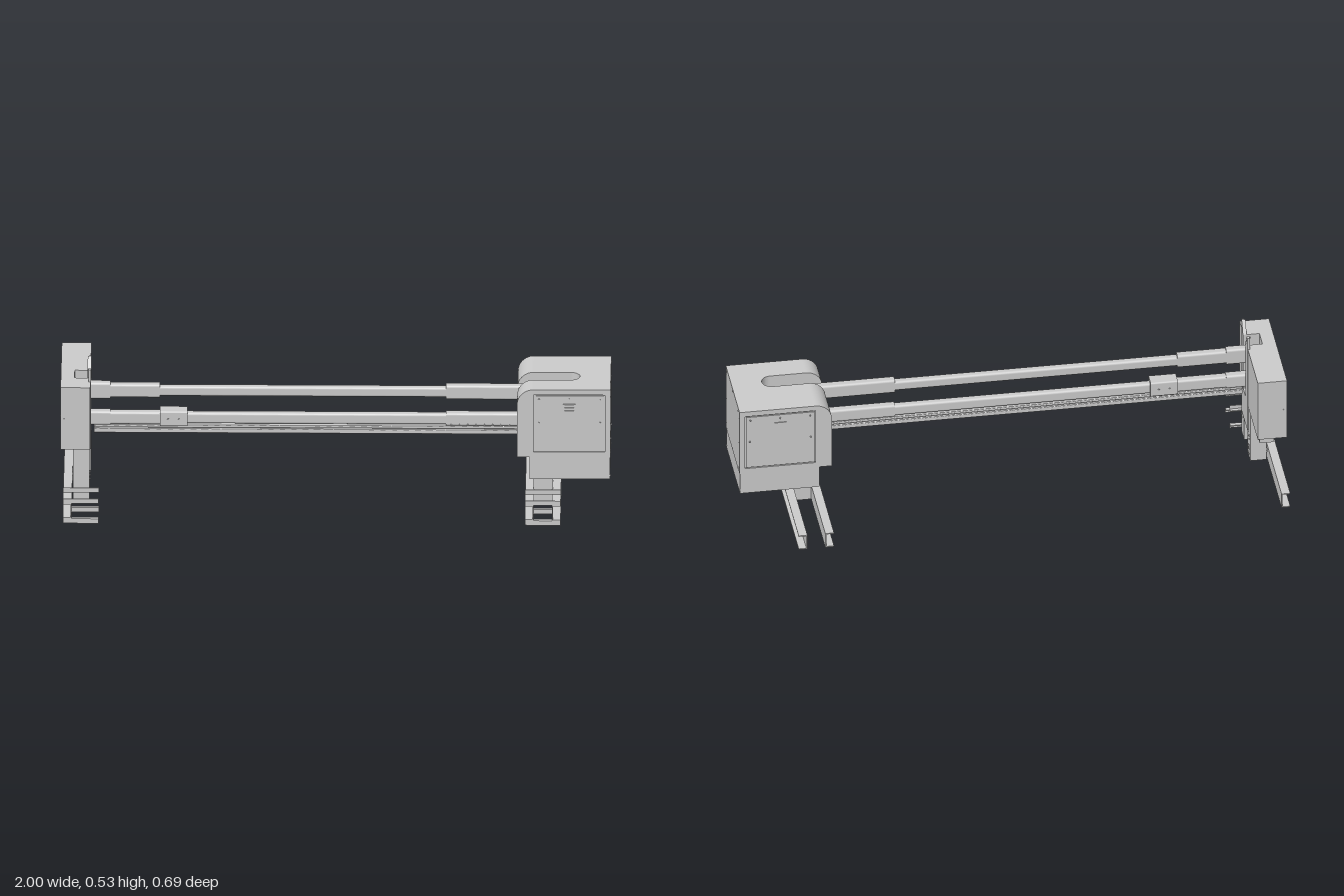
import * as THREE from 'three';

const grey = new THREE.MeshStandardMaterial({ color: 0xcccccc, side: THREE.DoubleSide });

export function createModel() {
  const model = new THREE.Group();
  const add = (name, geo) => {
    const m = new THREE.Mesh(geo, grey);
    m.name = name;
    model.add(m);
    return m;
  };
  // Box given by its limits on each axis
  const box = (name, x0, x1, y0, y1, z0, z1) =>
    add(name, new THREE.BoxGeometry(x1 - x0, y1 - y0, z1 - z0).translate((x0 + x1) / 2, (y0 + y1) / 2, (z0 + z1) / 2));
  const poly = pts => new THREE.Shape(pts.map(p => new THREE.Vector2(...p)));
  const rect = (a0, a1, b0, b1) => poly([[a0, b0], [a1, b0], [a1, b1], [a0, b1]]);
  const extrude = (shape, depth) => new THREE.ExtrudeGeometry(shape, { depth, bevelEnabled: false, curveSegments: 12 });
  // Extrusions along x (outline in z, y), y (outline in x, z) and z (outline in x, y)
  const alongX = (name, shape, x0, x1) => add(name, extrude(shape, x1 - x0).rotateY(-Math.PI / 2).translate(x1, 0, 0));
  const alongY = (name, shape, y0, y1) => add(name, extrude(shape, y1 - y0).rotateX(Math.PI / 2).translate(0, y1, 0));
  const alongZ = (name, shape, z0, z1) => add(name, extrude(shape, z1 - z0).translate(0, 0, z0));
  const circle = (a, b, r) => new THREE.Path().absarc(a, b, r, 0, Math.PI * 2);
  const bolt = (x, y, z, axis) => {
    const g = new THREE.CylinderGeometry(0.003, 0.003, 0.006, 8);
    if (axis === 'x') g.rotateZ(Math.PI / 2);
    else g.rotateX(Math.PI / 2);
    add('bolt', g.translate(x, y, z));
  };

  // Feet: outward-facing channels with a round hole in the web
  const rail = (webX, dir) => {
    const web = rect(-0.345, 0.345, 0.02, 0.08);
    web.holes.push(circle(0.015, 0.05, 0.02));
    alongX('railWeb', web, webX - 0.002, webX + 0.002);
    const x0 = Math.min(webX, webX + dir * 0.03), x1 = Math.max(webX, webX + dir * 0.03);
    box('railFlange', x0, x1, 0.076, 0.08, -0.345, 0.345);
    box('railFlange', x0, x1, 0.02, 0.024, -0.345, 0.345);
  };
  rail(0.72, -1);
  rail(0.79, 1);
  rail(-0.96, -1);

  // Angle bars clamping the feet, above and below
  for (const [x0, x1] of [[0.69, 0.82], [-0.99, -0.86]])
    for (const z of [0.345, 0.241]) {
      box('angleBar', x0, x1, 0.08, 0.098, z - 0.003, z);
      box('angleBar', x0, x1, 0.08, 0.084, z - 0.016, z);
      box('angleBar', x0, x1, 0.002, 0.02, z - 0.003, z);
      box('angleBar', x0, x1, 0.016, 0.02, z - 0.016, z);
    }

  // Hollow posts between feet and housings
  const post = (x0, x1, y1, z0, z1, hole) => {
    for (const x of [x0, x1 - 0.004]) {
      const side = rect(z0, z1, 0.02, y1);
      if (hole) side.holes.push(circle(0.015, 0.05, 0.02));
      alongX('postSide', side, x, x + 0.004);
    }
    for (const z of [z0, z1 - 0.004]) box('postFace', x0, x1, 0.02, y1, z, z + 0.004);
    for (const dz of [0.017, 0.045]) for (const y of [0.105, 0.119]) bolt(x1, y, z0 + dz, 'x');
  };
  for (const [x0, x1, y1] of [[0.72, 0.79, 0.132], [-0.955, -0.895, 0.24]]) {
    post(x0, x1, y1, -0.018, 0.048, true);
    post(x0, x1, y1, 0.126, 0.191, false);
  }

  // Right housing: side halves with one rounded top corner
  const profile = () => {
    const s = new THREE.Shape();
    s.moveTo(0.66, 0.215);
    s.lineTo(1, 0.215);
    s.lineTo(1, 0.48);
    s.lineTo(0.72, 0.48);
    s.absarc(0.72, 0.42, 0.06, Math.PI / 2, Math.PI, false);
    s.closePath();
    return s;
  };
  alongZ('housingFront', profile(), 0.117, 0.205);
  alongZ('housingRear', profile(), -0.101, 0.047);
  for (const [z0, z1, out] of [[0.205, 0.211, 1], [-0.107, -0.101, -1]]) {
    const cover = profile();
    cover.holes.push(rect(0.72, 0.98, 0.235, 0.46));
    alongZ('sideCover', cover, z0, z1);
    const mid = (z0 + z1) / 2;
    box('door', 0.724, 0.976, 0.239, 0.456, mid - 0.003, mid + 0.001);
    const face = out > 0 ? z1 : z0;
    box('doorLatch', 0.828, 0.872, 0.398, 0.424, face - 0.003, face + 0.001);
    for (const x of [0.738, 0.962]) bolt(x, 0.35, face - 0.002, 'z');
    for (const y of [0.395, 0.407, 0.419]) box('latchRib', 0.832, 0.868, y, y + 0.004, face - 0.002, face + 0.003);
    for (const x of [0.74, 0.85, 0.96]) bolt(x, 0.442, face - 0.002, 'z');
  }
  // Middle of the housing, ending in the round end of the beam slot
  const slotEnd = new THREE.Shape();
  slotEnd.moveTo(0.853, 0.047);
  slotEnd.lineTo(1, 0.047);
  slotEnd.lineTo(1, 0.117);
  slotEnd.lineTo(0.853, 0.117);
  slotEnd.absarc(0.853, 0.082, 0.035, Math.PI / 2, -Math.PI / 2, true);
  alongY('housingMiddle', slotEnd, 0.215, 0.48);

  // Skirt under the housing, with cut-outs in its floor
  const throughHole = () => rect(0.842, 0.87, 0.068, 0.096);
  const skirt = rect(0.705, 0.998, -0.105, 0.209);
  skirt.holes.push(throughHole());
  alongY('skirt', skirt, 0.15, 0.215);
  const floor = rect(0.705, 0.998, -0.105, 0.209);
  floor.holes.push(throughHole());
  for (const z of [-0.07, 0.13]) for (const x of [0.835, 0.915]) floor.holes.push(rect(x, x + 0.045, z, z + 0.045));
  alongY('skirtFloor', floor, 0.128, 0.151);
  for (const z of [0.184, 0.054, -0.078]) for (const y of [0.47, 0.223]) bolt(0.999, y, z, 'x');
  for (const z of [0.202, -0.098]) for (const y of [0.45, 0.345, 0.24, 0.14]) bolt(0.998, y, z, 'x');

  // Left housing with a notch for the beams
  alongY('leftHousing', poly([[-1, -0.21], [-0.892, -0.21], [-0.892, 0.047], [-0.95, 0.047], [-0.95, 0.117],
    [-0.892, 0.117], [-0.892, 0.21], [-1, 0.21]]), 0.235, 0.48);
  box('underTray', -0.95, -0.9, 0.216, 0.236, -0.205, -0.018);
  for (const z of [0.21, -0.21]) bolt(-0.988, 0.355, z, 'z');
  for (const z of [-0.18, 0.18]) bolt(-0.999, 0.355, z, 'x');

  // Forked guide plate with a V-shaped mouth
  alongX('guidePlate', poly([[0.018, 0.13], [0.155, 0.13], [0.155, 0.527], [0.145, 0.529], [0.116, 0.482], [0.116, 0.25],
    [0.058, 0.25], [0.058, 0.482], [0.028, 0.529], [0.018, 0.527]]), -0.899, -0.89);
  for (const s of [-1, 1]) {
    const lip = new THREE.BoxGeometry(0.014, 0.055, 0.003);
    lip.rotateX(s * 0.55).translate(-0.896, 0.504, 0.087 + s * 0.044);
    add('guideLip', lip);
  }

  // Rounded rectangular beam section running along x
  const beam = (name, x0, x1, y0, y1, w, r = 0.009) => {
    const s = new THREE.Shape(), a = 0.083 - w / 2, b = 0.083 + w / 2;
    s.absarc(b - r, y1 - r, r, 0, Math.PI / 2);
    s.absarc(a + r, y1 - r, r, Math.PI / 2, Math.PI);
    s.absarc(a + r, y0 + r, r, Math.PI, Math.PI * 1.5);
    s.absarc(b - r, y0 + r, r, Math.PI * 1.5, Math.PI * 2);
    alongX(name, s, x0, x1);
  };
  beam('upperBeam', -0.94, 0.78, 0.4, 0.438, 0.03);
  beam('upperSleeve', -0.9, -0.82, 0.388, 0.452, 0.034);
  beam('upperSleeve', -0.82, -0.64, 0.394, 0.446, 0.034);
  beam('upperSleeve', 0.4, 0.74, 0.392, 0.447, 0.034);
  beam('lowerBeam', -0.94, 0.78, 0.292, 0.334, 0.03);
  beam('lowerSleeve', -0.9, -0.82, 0.286, 0.34, 0.036);
  beam('lowerSleeve', -0.82, -0.64, 0.289, 0.337, 0.034);
  beam('lowerSleeve', 0.4, 0.74, 0.288, 0.338, 0.034);
  beam('clampBlock', -0.64, -0.54, 0.286, 0.345, 0.056, 0.006);
  beam('cableTray', -0.88, 0.72, 0.255, 0.272, 0.026, 0.003);
  beam('trayCover', -0.88, 0.72, 0.275, 0.286, 0.022, 0.003);
  for (const z of [0.054, 0.112]) for (const x of [-0.61, -0.57]) bolt(x, 0.316, z, 'z');

  // Row of pins along the beam fronts
  for (let x = 0.42; x < 0.65; x += 0.03) bolt(x, 0.294, 0.099, 'z');
  return model;
}
